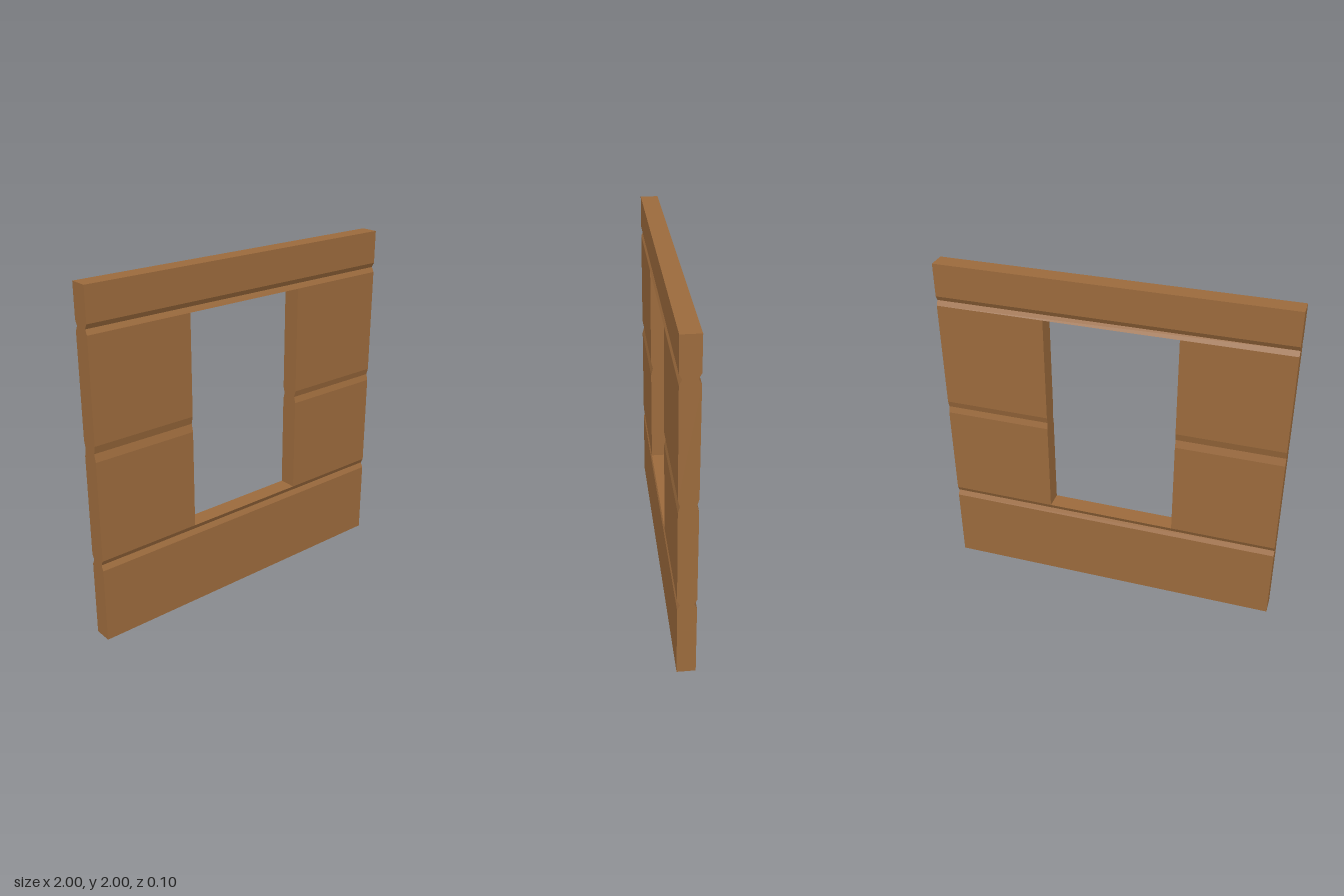
import * as THREE from 'three';

const HALF = 0.052; // half thickness of the wall

// Extrudes a front/back symmetric board along x; edge = [halfThickness, y] from bottom to top
function board(name, x0, x1, edge, material) {
  const outline = [
    ...edge.map(([t, y]) => new THREE.Vector2(t, y)),
    ...edge.slice().reverse().map(([t, y]) => new THREE.Vector2(-t, y)),
  ];
  const geometry = new THREE.ExtrudeGeometry(new THREE.Shape(outline), {
    depth: x1 - x0, bevelEnabled: false,
  });
  geometry.rotateY(Math.PI / 2);
  geometry.translate(x0, 0, 0);
  const mesh = new THREE.Mesh(geometry, material);
  mesh.name = name;
  return mesh;
}

// V-shaped groove between two planks
const groove = (low, mid, high, depth) => [[HALF, low], [HALF - depth, mid], [HALF, high]];

export function createModel() {
  const wood = new THREE.MeshStandardMaterial({ color: 0x9b6a3c });
  wood.name = 'wood';

  const sillY = 0.5, headY = 1.752; // window opening
  const left = 0.375, right = -0.385;

  const wall = new THREE.Group();
  wall.name = 'windowWall';

  // Full-width planks below and above the window
  wall.add(board('lowerPlank', -1, 1,
    [[HALF, 0], ...groove(0.44, 0.47, sillY, 0.015)], wood));
  wall.add(board('upperPlank', -1, 1,
    [...groove(headY, 1.78, 1.808, 0.015), [HALF, 2]], wood));

  // Side planks, each with a shallow groove at its own height
  wall.add(board('rightPlanks', -1, right,
    [[HALF, sillY], ...groove(1.08, 1.125, 1.17, 0.011), [HALF, headY]], wood));
  wall.add(board('leftPlanks', left, 1,
    [[HALF, sillY], ...groove(1.055, 1.092, 1.13, 0.01), [HALF, headY]], wood));

  return wall;
}
